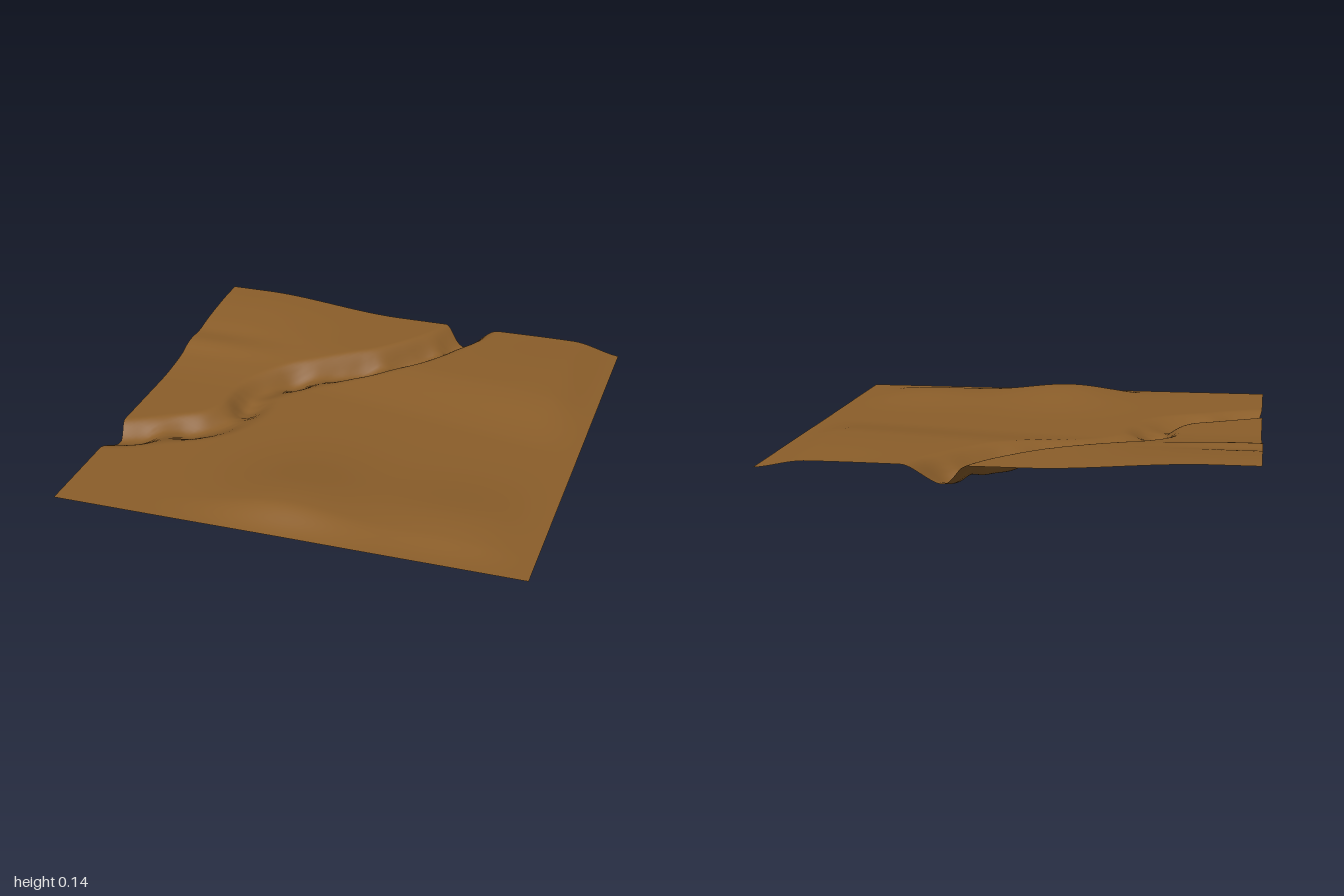
import * as THREE from 'three';

const W = 0.98, N = 130;
const step = THREE.MathUtils.smoothstep;
const bump = (x, z, cx, cz, rx, rz) => Math.exp(-(((x - cx) / rx) ** 2) - ((z - cz) / rz) ** 2);

// Centre line of the stream bed, from the left edge to the back edge
const stream = new THREE.CatmullRomCurve3([
  [-1.15, 0.46], [-0.95, 0.42], [-0.78, 0.33], [-0.6, 0.22], [-0.53, 0.08], [-0.52, -0.12], [-0.42, -0.27],
  [-0.25, -0.4], [-0.05, -0.55], [0.07, -0.68], [0.16, -0.82], [0.22, -0.95], [0.27, -1.15],
].map(([x, z]) => new THREE.Vector3(x, 0, z))).getSpacedPoints(120);

// Signed distance to the stream: negative on the high bank, positive on the plain
function streamDistance(x, z) {
  let best = Infinity, k = 0;
  stream.forEach((p, i) => {
    const d = (p.x - x) ** 2 + (p.z - z) ** 2;
    if (d < best) { best = d; k = i; }
  });
  const a = stream[Math.max(k - 1, 0)], b = stream[Math.min(k + 1, stream.length - 1)];
  const side = (b.x - a.x) * (z - stream[k].z) - (b.z - a.z) * (x - stream[k].x);
  return { d: Math.sqrt(best) * Math.sign(side), along: k / 120 };
}

// High bank: tilts up towards the back left corner, with a few ripples
function bankHeight(x, z) {
  return 0.074 + 0.03 * step(-z, 0.05, 0.6) + 0.04 * step(-z, 0.3, 0.95) * step(-x, 0.1, 0.8)
    + 0.012 * bump(x, z, -0.9, -0.42, 0.3, 0.07) - 0.006 * bump(x, z, -0.9, -0.55, 0.3, 0.06);
}

// Plain: shallow basin, back plateau, front mound and rims that curl down
function plainHeight(x, z) {
  const plateau = 0.036 * step(-z + 0.18 * x, 0.1, 0.55) + 0.012 * bump(x, z, 0.65, -0.6, 0.28, 0.35);
  const mound = 0.055 * bump(x, z, -0.03, 0.8, 0.3, 0.34) + 0.03 * bump(x, z, 0.6, 0.7, 0.3, 0.25);
  const rim = step(W - x, -0.03, 0.22) * step(1 - z, -0.02, 0.17);
  return 0.066 + (plateau + mound) * rim;
}

function height(x, z) {
  const { d, along } = streamDistance(x, z);
  const bed = 0.017 + 0.009 * Math.sin(along * 47) + 0.004 * Math.sin(along * 83);
  return d < 0
    ? THREE.MathUtils.lerp(bed, bankHeight(x, z), step(-d, 0.005, 0.1))
    : THREE.MathUtils.lerp(bed, plainHeight(x, z), step(d, 0, 0.15));
}

export function createModel() {
  const group = new THREE.Group();
  group.name = 'terrain';

  const geometry = new THREE.PlaneGeometry(2 * W, 2, N, N).rotateX(-Math.PI / 2);
  const pos = geometry.attributes.position;
  for (let i = 0; i < pos.count; i++) {
    const x = pos.getX(i), z = pos.getZ(i), y = height(x, z);
    // Low points of the back and left edges draw inwards
    const dx = Math.max(0, 0.1 - y) * 0.35 * step(-x, 0.75, 1);
    const dz = Math.max(0, 0.145 - y) * 0.55 * step(-z, 0.7, 1);
    pos.setXYZ(i, x + dx, y, z + dz);
  }
  geometry.computeBoundingBox();
  geometry.translate(0, -geometry.boundingBox.min.y, 0);
  geometry.computeVertexNormals();

  const ground = new THREE.Mesh(geometry, new THREE.MeshStandardMaterial({ color: 0x8b5e2a, side: THREE.DoubleSide }));
  ground.name = 'groundSheet';
  group.add(ground);
  return group;
}
